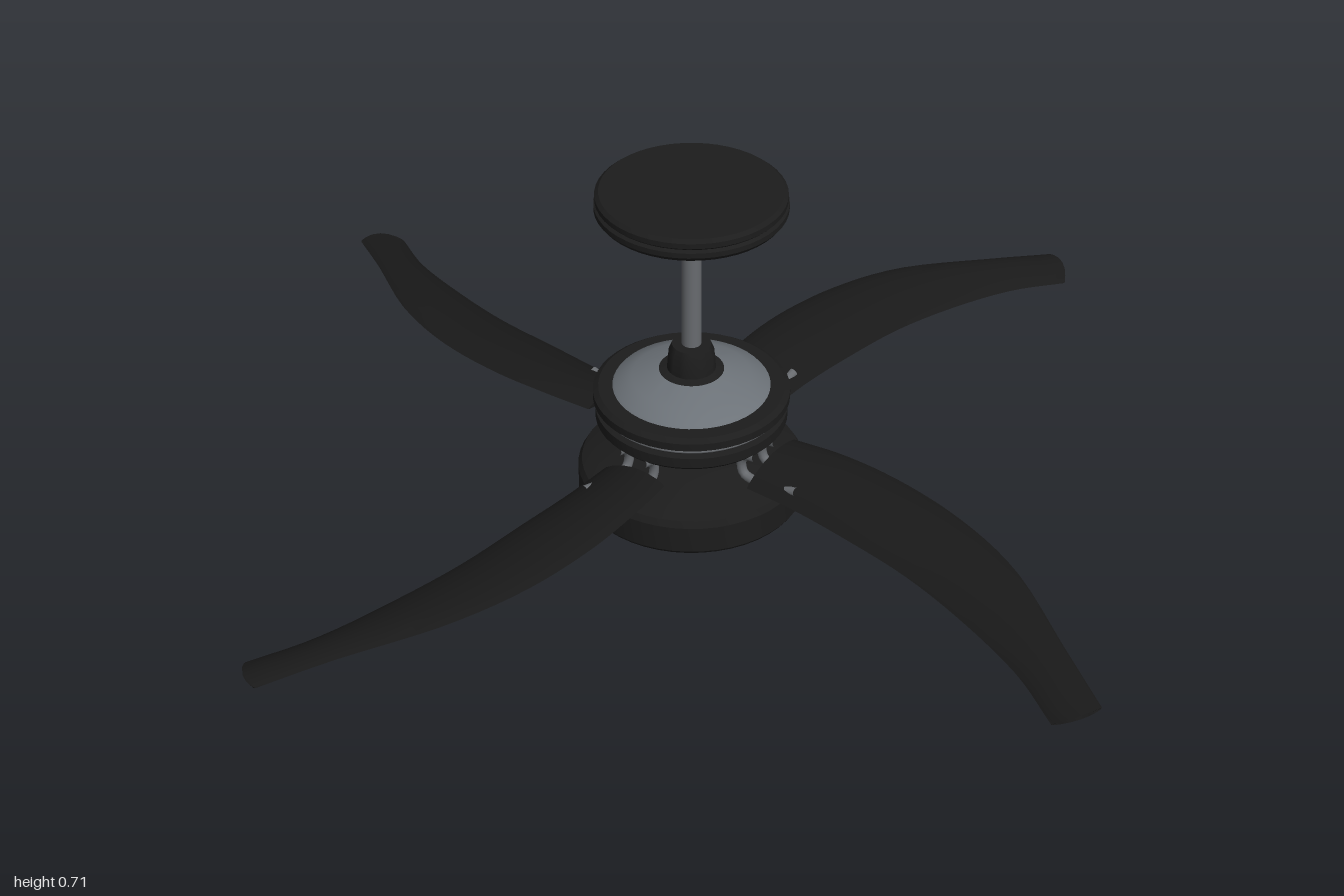
import * as THREE from 'three';
import { toCreasedNormals } from 'three/addons/utils/BufferGeometryUtils.js';

const paint = (name, color, side = THREE.FrontSide) => {
  const m = new THREE.MeshStandardMaterial({ color, side });
  m.name = name;
  return m;
};

// Swept blade: lens-shaped sections strung between two edge curves
function bladeGeometry() {
  const curve = (pts) => new THREE.CatmullRomCurve3(pts.map((p) => new THREE.Vector3(...p)));
  const high = curve([[0.18, 0.2, -0.085], [0.28, 0.203, -0.1], [0.4, 0.2, -0.105], [0.55, 0.193, -0.088],
    [0.7, 0.184, -0.04], [0.88, 0.162, 0.065], [0.995, 0.143, 0.13]]);
  const low = curve([[0.18, 0.172, 0.06], [0.28, 0.172, 0.058], [0.4, 0.17, 0.064], [0.55, 0.163, 0.076],
    [0.7, 0.153, 0.107], [0.84, 0.14, 0.15], [0.945, 0.128, 0.205]]);
  const rows = 28, half = 8, ring = half * 2;
  const pos = [], index = [];
  for (let i = 0; i <= rows; i++) {
    const t = i / rows;
    const a = high.getPoint(t), b = low.getPoint(t);
    const camber = 0.016 - 0.008 * t, thick = 0.007 - 0.003 * t;
    for (let j = 0; j < ring; j++) {
      const ang = (j / ring) * Math.PI * 2;
      const u = (1 - Math.cos(ang)) / 2;
      const p = a.clone().lerp(b, u);
      // the tip bulges slightly outward
      const bulge = t === 1 ? 0.012 * 4 * u * (1 - u) : 0;
      pos.push(p.x + bulge, p.y + camber * 4 * u * (1 - u) + thick * Math.sin(ang), p.z + bulge * 0.5);
    }
  }
  for (let i = 0; i < rows; i++) {
    for (let j = 0; j < ring; j++) {
      const k = (j + 1) % ring;
      const p = i * ring + j, q = i * ring + k;
      index.push(p, q, p + ring, q, q + ring, p + ring);
    }
  }
  // flat ends
  const end = rows * ring;
  for (let j = 1; j < ring - 1; j++) {
    index.push(0, j + 1, j, end, end + j, end + j + 1);
  }
  const g = new THREE.BufferGeometry();
  g.setAttribute('position', new THREE.Float32BufferAttribute(pos, 3));
  g.setIndex(index);
  return toCreasedNormals(g, 0.9);
}

export function createModel() {
  const fan = new THREE.Group();
  fan.name = 'ceilingFan';

  const black = paint('black', 0x1c1c1c);
  const bladeBlack = paint('bladeBlack', 0x191919, THREE.DoubleSide);
  const steel = paint('steel', 0x686b6f);
  const motorGrey = paint('motorGrey', 0x6c7278);
  const glass = paint('frostedGlass', 0x80827f);

  const add = (name, geometry, material, parent = fan) => {
    const m = new THREE.Mesh(geometry, material);
    m.name = name;
    parent.add(m);
    return m;
  };
  // profiles run from bottom to top as [radius, height]
  const turn = (name, profile, material, segments = 48) => add(name, toCreasedNormals(
    new THREE.LatheGeometry(profile.map(([r, y]) => new THREE.Vector2(r, y)), segments), 0.5), material);

  // Ceiling mount and rod
  turn('canopy', [[0, 0.652], [0.05, 0.652], [0.13, 0.658], [0.168, 0.666], [0.174, 0.674], [0.174, 0.684],
    [0.168, 0.688], [0.172, 0.692], [0.172, 0.702], [0.165, 0.708], [0, 0.708]], black);
  turn('canopyCollar', [[0, 0.615], [0.024, 0.615], [0.034, 0.628], [0.04, 0.64], [0.04, 0.655]], black, 32);
  add('rod', new THREE.CylinderGeometry(0.018, 0.018, 0.27, 24), steel).position.y = 0.495;
  turn('rodCoupler', [[0.065, 0.318], [0.06, 0.328], [0.045, 0.332], [0.042, 0.368], [0.036, 0.383], [0, 0.384]], black, 32);

  // Motor with a pale sloped cover and banded sides
  turn('motorCover', [[0.15, 0.288], [0.142, 0.298], [0.11, 0.312], [0.075, 0.324], [0.06, 0.328]], motorGrey);
  turn('motorBody', [[0.09, 0.215], [0.15, 0.216], [0.17, 0.222], [0.178, 0.23], [0.178, 0.25], [0.168, 0.254],
    [0.168, 0.266], [0.182, 0.27], [0.182, 0.285], [0.172, 0.292], [0.13, 0.294]], black);
  add('motorTrim', new THREE.TorusGeometry(0.168, 0.004, 8, 48).rotateX(Math.PI / 2), steel).position.y = 0.26;

  // Neck and light housing
  turn('neck', [[0.085, 0.16], [0.08, 0.18], [0.1, 0.205], [0.11, 0.218]], black);
  turn('lightHousing', [[0, 0.062], [0.2, 0.06], [0.208, 0.06], [0.212, 0.066], [0.212, 0.118], [0.205, 0.13],
    [0.18, 0.142], [0.13, 0.157], [0.09, 0.168], [0, 0.17]], black);
  turn('lightBowl', [[0, 0], [0.05, 0.002], [0.1, 0.01], [0.145, 0.022], [0.175, 0.036], [0.192, 0.05], [0.196, 0.062]], glass);

  // Four blades, each on a bent bracket
  const blade = bladeGeometry();
  const bracket = new THREE.TubeGeometry(new THREE.CatmullRomCurve3([
    [0.175, 0.222], [0.15, 0.215], [0.143, 0.195], [0.15, 0.175], [0.175, 0.17], [0.22, 0.176], [0.27, 0.188],
  ].map(([x, y]) => new THREE.Vector3(x, y, 0))), 24, 0.009, 10);
  for (let i = 0; i < 4; i++) {
    const arm = new THREE.Group();
    arm.name = 'bladeArm' + (i + 1);
    arm.rotation.y = (i * Math.PI) / 2;
    add('blade', blade, bladeBlack, arm);
    for (const z of [-0.03, 0.03]) add('bracket', bracket, steel, arm).position.z = z;
    add('bracketPlate', new THREE.BoxGeometry(0.09, 0.008, 0.08), black, arm).position.set(0.235, 0.186, -0.01);
    fan.add(arm);
  }
  return fan;
}
